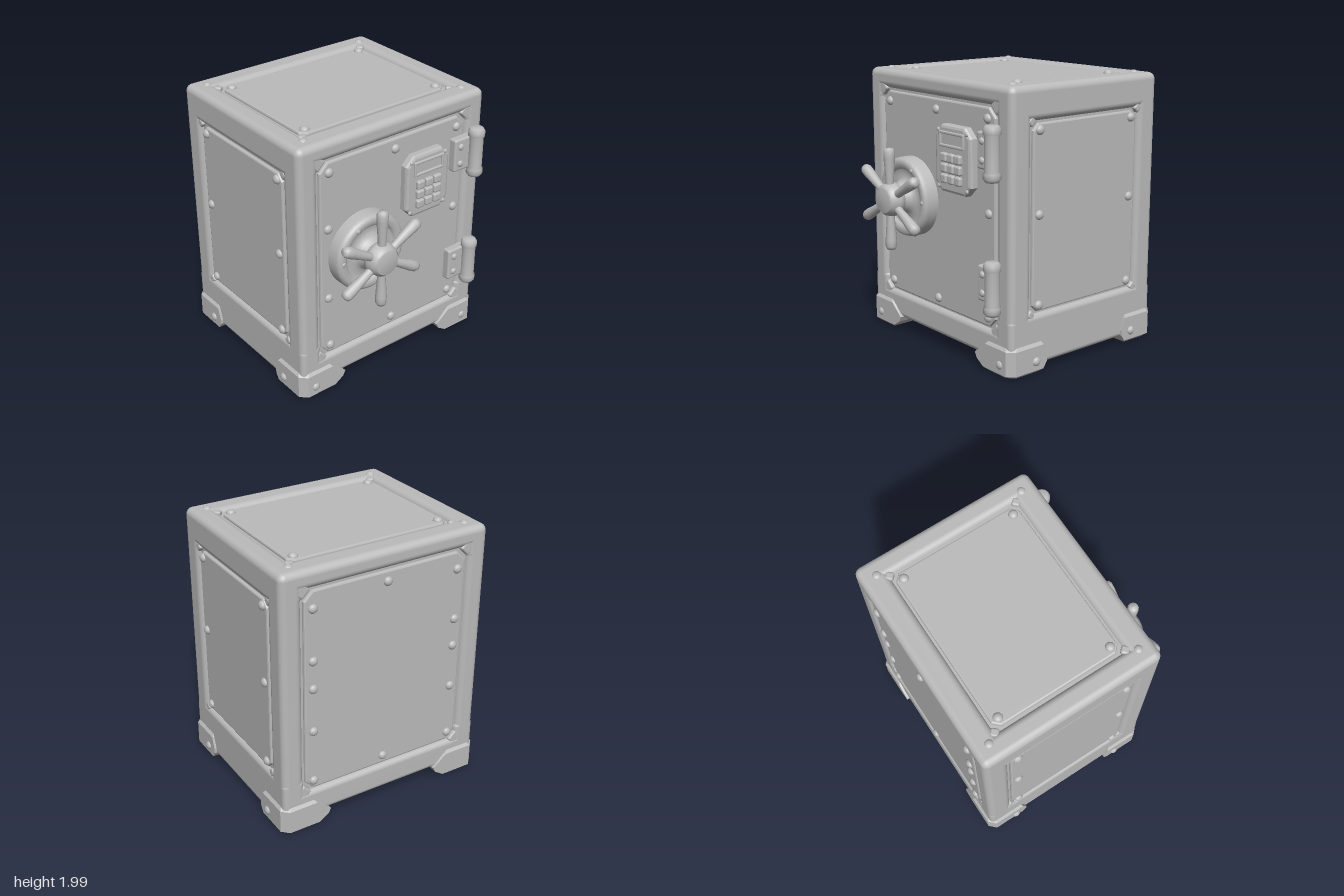
import * as THREE from 'three';
import { RoundedBoxGeometry } from 'three/addons/geometries/RoundedBoxGeometry.js';
import { ConvexGeometry } from 'three/addons/geometries/ConvexGeometry.js';

const CX = -0.125, HX = 0.685, HZ = 0.81, TOP = 1.98;
const steel = new THREE.MeshStandardMaterial({ color: 0xbbbbbb });
steel.name = 'steel grey';

function add(parent, name, geometry, x = 0, y = 0, z = 0) {
  const mesh = new THREE.Mesh(geometry, steel);
  mesh.name = name;
  mesh.position.set(x, y, z);
  parent.add(mesh);
  return mesh;
}

function group(parent, name, x = 0, y = 0, z = 0) {
  const g = new THREE.Group();
  g.name = name;
  g.position.set(x, y, z);
  parent.add(g);
  return g;
}

// rounded box given by its limits
function block(parent, name, x0, x1, y0, y1, z0, z1, r) {
  const geo = new RoundedBoxGeometry(x1 - x0, y1 - y0, z1 - z0, 3, r);
  return add(parent, name, geo, (x0 + x1) / 2, (y0 + y1) / 2, (z0 + z1) / 2);
}

// bevelled plate with cut corners, its outer face at z = depth
function plate(w, h, cut, depth, bevel) {
  const a = w / 2 - bevel, b = h / 2 - bevel;
  const pts = [[a - cut, -b], [a, cut - b], [a, b - cut], [a - cut, b],
    [cut - a, b], [-a, b - cut], [-a, cut - b], [cut - a, -b]];
  const shape = new THREE.Shape(pts.map(p => new THREE.Vector2(...p)));
  const geo = new THREE.ExtrudeGeometry(shape, {
    depth: depth - bevel, bevelEnabled: true, bevelThickness: bevel, bevelSize: bevel, bevelSegments: 2,
  });
  return geo;
}

// low domed bolt head facing +z
function bolt(parent, x, y, z, r = 0.034, h = 0.026) {
  const geo = new THREE.SphereGeometry(r, 12, 5, 0, Math.PI * 2, 0, Math.PI / 2);
  geo.rotateX(Math.PI / 2).scale(1, 1, h / r);
  add(parent, 'bolt', geo, x, y, z);
}

// one wall: recessed panel, corner gussets and bolts; local z points outward
function wall(parent, name, pos, rot, w, h, cy, cut, bolts) {
  const g = group(parent, name, ...pos);
  g.rotation.set(...rot);
  add(g, 'panel', plate(w - 0.03, h - 0.03, cut, 0.03, 0.012), 0, cy, -0.042);
  for (const sx of [-1, 1]) for (const sy of [-1, 1]) {
    const s = cut * 1.45;
    const gusset = add(g, 'cornerGusset', new RoundedBoxGeometry(s, s, 0.06, 2, 0.015),
      sx * w / 2, cy + sy * h / 2, -0.034);
    gusset.rotation.z = Math.PI / 4;
  }
  for (const [x, y, z = -0.013] of bolts) bolt(g, x, y, z);
  return g;
}

// corner foot, wider above the ground and tapered at its top
function foot(parent, sx, sz) {
  const pts = [];
  for (const [y, out, wx, wz] of [[0, 0.03, 0.27, 0.25], [0.025, 0, 0.3, 0.29], [0.07, 0, 0.33, 0.36],
    [0.11, 0, 0.33, 0.38], [0.2, 0, 0.3, 0.27], [0.235, 0.03, 0.28, 0.24]]) {
    const c = 0.05;
    for (const [ax, az] of [[out + c, out], [out, out + c], [out, wz], [wx, out], [wx, wz]]) {
      pts.push(new THREE.Vector3(CX + sx * (HX + 0.018 - ax), y, sz * (HZ + 0.018 - az)));
    }
  }
  add(parent, 'foot', new ConvexGeometry(pts));
}

function buildBody(root) {
  const body = group(root, 'body');
  const x0 = CX - HX, x1 = CX + HX;
  block(body, 'core', x0 + 0.035, x1 - 0.035, 0.1, TOP - 0.035, -HZ + 0.035, HZ - 0.035, 0.02);
  // frame beams along the twelve edges
  for (const s of [-1, 1]) {
    const za = s > 0 ? HZ - 0.165 : -HZ, xa = s > 0 ? x1 - 0.185 : x0;
    block(body, 'upperFrameRail', x0, x1, 1.74, TOP, za, za + 0.165, 0.05);
    block(body, 'lowerFrameRail', x0, x1, 0.05, 0.42, za, za + 0.165, 0.04);
    block(body, 'upperSideRail', xa, xa + 0.185, 1.84, TOP, -HZ, HZ, 0.05);
    block(body, 'lowerSideRail', xa, xa + 0.185, 0.1, 0.3, -HZ, HZ, 0.04);
    for (const t of [-1, 1]) {
      const zb = t > 0 ? HZ - 0.16 : -HZ;
      block(body, 'cornerPost', xa, xa + 0.185, 0.06, TOP, zb, zb + 0.16, 0.05);
      foot(body, s, t);
    }
  }
  // two plain walls, the rear wall, the roof and the door
  const side = [];
  for (const x of [-0.43, 0.43]) {
    for (const y of [0.48, 1.11, 1.68]) side.push([x, y]);
    side.push([x * 1.09, 0.09, 0.012]);
  }
  wall(body, 'frontWall', [CX, 0, HZ], [0, 0, 0], 1, 1.32, 1.08, 0.04, side);
  wall(body, 'backWall', [CX, 0, -HZ], [0, Math.PI, 0], 1, 1.32, 1.08, 0.04, side);

  const rear = [[0, 1.75], [0, 0.38]], roof = [];
  for (const s of [-1, 1]) {
    for (const y of [0.38, 0.78, 1.11, 1.32, 1.7]) rear.push([s * 0.57, y]);
    for (const t of [-1, 1]) roof.push([s * 0.43, t * 0.57], [s * 0.57, t * 0.685, -0.012]);
  }
  wall(body, 'rearWall', [x0, 0, 0], [0, -Math.PI / 2, 0], 1.3, 1.54, 1.07, 0.06, rear);
  wall(body, 'roof', [CX, TOP, 0], [-Math.PI / 2, 0, 0], 1, 1.28, 0, 0.04, roof);
  const doorBolts = [[0, 1.75], [0, 0.38], [0.57, 1.11], [-0.57, 1.33], [-0.57, 0.78]];
  for (const s of [-1, 1]) doorBolts.push([s * 0.56, 1.75], [s * 0.56, 0.38], [s * 0.71, 0.09, 0.008]);
  return wall(body, 'door', [x1, 0, 0], [0, Math.PI / 2, 0], 1.3, 1.54, 1.07, 0.06, doorBolts);
}

function buildKeypad(door) {
  const pad = group(door, 'keypad', 0.255, 1.435, 0);
  add(pad, 'keypadHousing', plate(0.39, 0.47, 0.055, 0.065, 0.022), 0, 0, -0.015);
  // raised frame around the display
  for (const s of [-1, 1]) {
    block(pad, 'displayFrame', -0.135, 0.135, s * 0.045 + 0.128, s * 0.045 + 0.148, 0.04, 0.063, 0.007);
    block(pad, 'displayFrame', s * 0.125 - 0.01, s * 0.125 + 0.01, 0.083, 0.193, 0.04, 0.063, 0.007);
    for (const t of [-1, 1]) bolt(pad, s * 0.155, t * 0.195, 0.045, 0.016, 0.012);
  }
  for (let i = -1; i <= 1; i++) for (let j = -1; j <= 1; j++) {
    add(pad, 'key', new RoundedBoxGeometry(0.067, 0.064, 0.045, 2, 0.014), i * 0.077, j * 0.074 - 0.06, 0.055);
  }
}

function buildWheel(door) {
  const wheel = group(door, 'handwheel', -0.28, 1.09, 0);
  // stepped base flowing into the hub
  const base = [[0.29, -0.03], [0.29, 0.065], [0.28, 0.09], [0.26, 0.103], [0.225, 0.1], [0.208, 0.085],
    [0.2, 0.07], [0.14, 0.07], [0.115, 0.1], [0.095, 0.14], [0.09, 0.17]];
  const hub = [[0.09, 0.13], [0.122, 0.16], [0.122, 0.19], [0.112, 0.24], [0.095, 0.25], [0.088, 0.268], [0, 0.27]];
  for (const [name, pts] of [['wheelBase', base], ['wheelHub', hub]]) {
    const geo = new THREE.LatheGeometry(pts.map(p => new THREE.Vector2(...p)), 36);
    add(wheel, name, geo.rotateX(Math.PI / 2));
  }
  const profile = [[0.03, 0.05], [0.03, 0.15], [0.041, 0.3], [0.041, 0.345], [0.03, 0.368], [0, 0.375]];
  for (let i = 0; i < 6; i++) {
    const a = i * Math.PI / 3;
    const spoke = add(wheel, 'spoke', new THREE.LatheGeometry(profile.map(p => new THREE.Vector2(...p)), 12), 0, 0, 0.2);
    spoke.rotation.z = a;
    bolt(wheel, Math.cos(a) * 0.245, Math.sin(a) * 0.245, 0.098, 0.018, 0.012);
  }
}

function buildHinge(door, y) {
  const hinge = group(door, 'hinge', 0, y, 0);
  block(hinge, 'hingePlate', 0.51, 0.68, -0.125, 0.125, -0.03, 0.045, 0.015);
  for (const s of [-1, 1]) bolt(hinge, 0.565, s * 0.065, 0.043, 0.026, 0.018);
  // knuckle with thicker end caps
  const half = [[0.052, 0], [0.052, 0.12], [0.06, 0.128], [0.06, 0.165], [0.045, 0.186], [0, 0.188]];
  const pts = [...half.slice(1).reverse().map(([r, h]) => [r, -h]), ...half];
  add(hinge, 'hingeBarrel', new THREE.LatheGeometry(pts.map(p => new THREE.Vector2(...p)), 20), 0.692, 0, 0.063);
}

export function createModel() {
  const root = new THREE.Group();
  root.name = 'safe';
  const door = buildBody(root);
  buildKeypad(door);
  buildWheel(door);
  for (const y of [0.635, 1.545]) buildHinge(door, y);
  return root;
}
